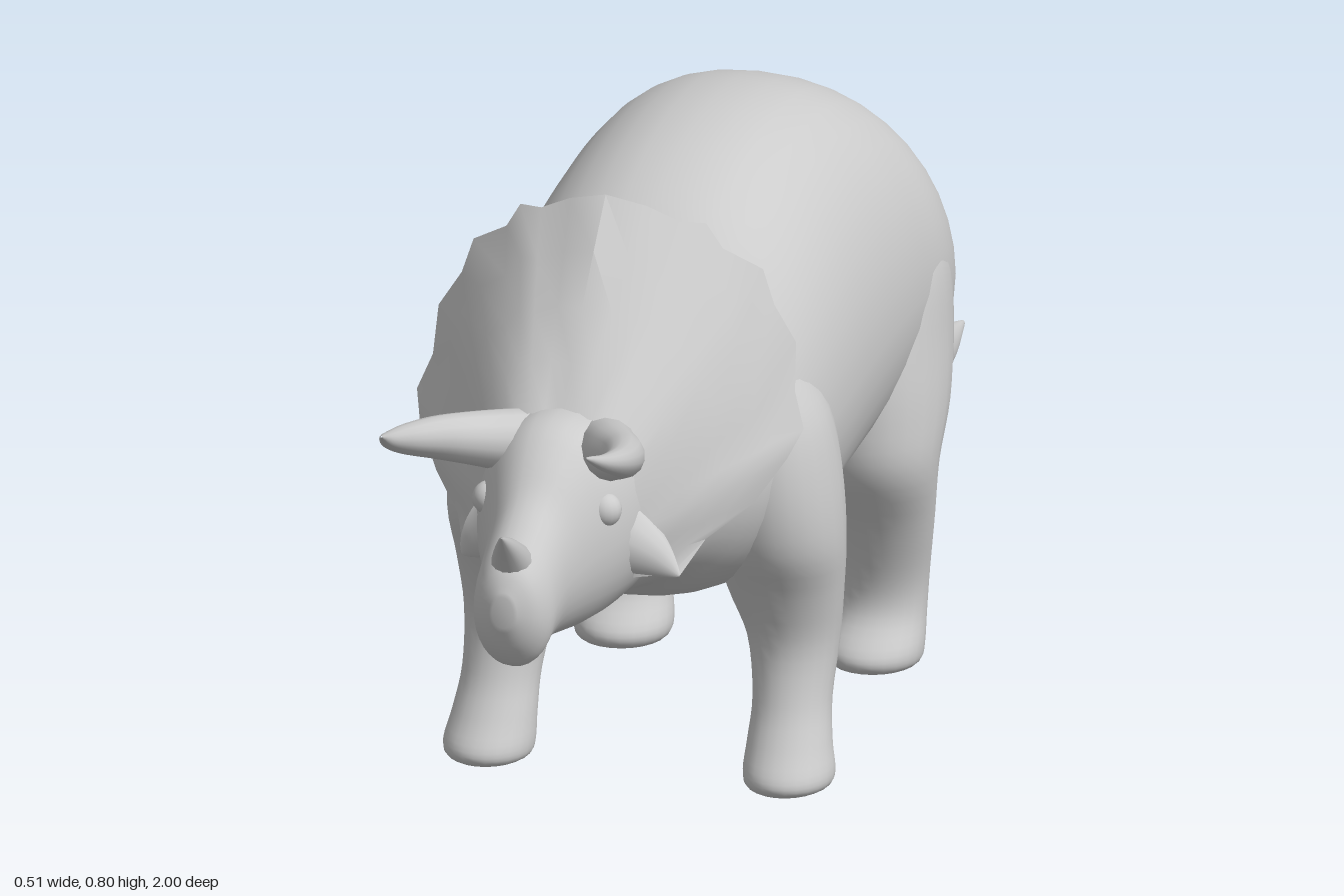
import * as THREE from 'three';
import { toCreasedNormals } from 'three/addons/utils/BufferGeometryUtils.js';

const material = new THREE.MeshStandardMaterial({ color: 0xcccccc });
const thin = new THREE.MeshStandardMaterial({ color: 0xcccccc, side: THREE.DoubleSide });

// Surface through rows of points; closed joins each row end to start
function skin(rows, closed) {
  const n = rows[0].length, index = [];
  for (let i = 0; i < rows.length - 1; i++) {
    for (let j = 0; j < (closed ? n : n - 1); j++) {
      const k = (j + 1) % n;
      const a = i * n + j, b = i * n + k, c = a + n, d = b + n;
      index.push(a, b, c, b, d, c);
    }
  }
  const geo = new THREE.BufferGeometry();
  geo.setAttribute('position', new THREE.Float32BufferAttribute(rows.flat(2), 3));
  geo.setIndex(index);
  geo.computeVertexNormals();
  return geo;
}

// Smoothly interpolate rows of numbers
function refine(rows, steps) {
  const out = [], last = rows.length - 1;
  const at = (i) => rows[Math.min(Math.max(i, 0), last)];
  for (let i = 0; i < last; i++) {
    for (let s = 0; s < steps; s++) {
      const t = s / steps;
      out.push(rows[i].map((p1, k) => {
        const p2 = at(i + 1)[k], m1 = (p2 - at(i - 1)[k]) / 2, m2 = (at(i + 2)[k] - p1) / 2;
        const d = p2 - p1;
        return p1 + m1 * t + (3 * d - 2 * m1 - m2) * t * t + (m1 + m2 - 2 * d) * t * t * t;
      }));
    }
  }
  out.push(rows[last]);
  return out;
}

// Closed loft: ring(section, cos, sin) gives a point; ends collapse to a cap
function loft(sections, ring, segs = 32, steps = 4) {
  const rows = refine(sections, steps).map((s) =>
    Array.from({ length: segs }, (_, j) => {
      const t = (j / segs) * Math.PI * 2;
      return ring(s, Math.cos(t), Math.sin(t));
    }));
  const cap = (row) => {
    const c = [0, 1, 2].map((k) => row.reduce((sum, p) => sum + p[k], 0) / segs);
    return row.map(() => c);
  };
  return skin([cap(rows[0]), ...rows, cap(rows[rows.length - 1])], true);
}

// Section along z: [z, top, bottom, half width], widest a little below the middle
const alongZ = ([z, top, bottom, w], c, s) => {
  const mid = bottom + (top - bottom) * 0.46;
  const x = Math.sign(c) * Math.pow(Math.abs(c), 0.9) * w;
  return [x, mid + s * (s > 0 ? top - mid : mid - bottom), z];
};

// Tapered curved horn
function horn(points, radius) {
  const curve = new THREE.CatmullRomCurve3(points.map((p) => new THREE.Vector3(...p)));
  const along = 24, around = 14;
  const geo = new THREE.TubeGeometry(curve, along, 1, around);
  const pos = geo.attributes.position, v = new THREE.Vector3();
  for (let i = 0; i < pos.count; i++) {
    const t = Math.floor(i / (around + 1)) / along;
    const c = curve.getPointAt(t);
    v.fromBufferAttribute(pos, i).sub(c).multiplyScalar(radius * Math.pow(1 - t, 0.8) + 0.001).add(c);
    pos.setXYZ(i, v.x, v.y, v.z);
  }
  return geo;
}

// Scalloped neck frill: front face, thin rim and hollow back
function frillGeometry() {
  // Half outline from the crown down to the cheek
  const rim = [
    [0, 0.806, 0.49], [0.05, 0.792, 0.478], [0.09, 0.772, 0.468], [0.12, 0.77, 0.458],
    [0.14, 0.737, 0.452], [0.187, 0.71, 0.437], [0.202, 0.665, 0.438], [0.231, 0.62, 0.441],
    [0.234, 0.56, 0.455], [0.25, 0.518, 0.47], [0.237, 0.487, 0.5], [0.205, 0.438, 0.535],
    [0.16, 0.405, 0.59], [0.14, 0.37, 0.63],
  ];
  // Half ring where the frill meets the skull
  const root = [
    [0, 0.575, 0.68], [0.02, 0.58, 0.68], [0.04, 0.58, 0.68], [0.055, 0.575, 0.68],
    [0.07, 0.565, 0.68], [0.08, 0.55, 0.68], [0.09, 0.535, 0.68], [0.095, 0.515, 0.68],
    [0.098, 0.49, 0.68], [0.1, 0.465, 0.68], [0.1, 0.44, 0.68], [0.1, 0.42, 0.68],
    [0.095, 0.4, 0.68], [0.09, 0.375, 0.67],
  ];
  const whole = (half) => [...half.slice(1).reverse().map(([x, y, z]) => [-x, y, z]), ...half];
  const outer = whole(rim), inner = whole(root);
  const row = (t, back) => outer.map((p, j) => {
    const flute = Math.sin(t * Math.PI) * (j % 2 ? 0.004 : -0.002);
    const q = p.map((v, k) => inner[j][k] + (v - inner[j][k]) * t);
    return [q[0], q[1], q[2] + flute - back];
  });
  const rows = [row(0, 0), row(0.25, 0), row(0.5, 0), row(0.75, 0), row(1, 0),
    row(0.98, 0.01), row(0.75, 0.024), row(0.4, 0.04), row(0, 0.06)];
  return toCreasedNormals(skin(rows, false), 0.7);
}

export function createModel() {
  const model = new THREE.Group();
  const add = (name, geo, mat = material) => {
    const mesh = new THREE.Mesh(geo, mat);
    mesh.name = name;
    model.add(mesh);
    return mesh;
  };

  // Tail, torso and neck in one sweep
  add('body', loft([
    [-1, 0.126, 0.118, 0.003], [-0.9, 0.155, 0.104, 0.025], [-0.8, 0.2, 0.1, 0.042],
    [-0.7, 0.268, 0.117, 0.06], [-0.6, 0.37, 0.152, 0.08], [-0.5, 0.475, 0.203, 0.105],
    [-0.4, 0.565, 0.245, 0.15], [-0.3, 0.66, 0.272, 0.205], [-0.2, 0.725, 0.28, 0.235],
    [-0.1, 0.763, 0.268, 0.235], [0, 0.776, 0.25, 0.232], [0.1, 0.772, 0.235, 0.23],
    [0.2, 0.752, 0.224, 0.228], [0.3, 0.71, 0.224, 0.22], [0.4, 0.635, 0.25, 0.195],
    [0.48, 0.59, 0.29, 0.15], [0.58, 0.56, 0.312, 0.11], [0.64, 0.54, 0.325, 0.08],
  ], alongZ, 40));

  // Skull narrowing to the beak
  add('head', loft([
    [0.52, 0.54, 0.315, 0.08], [0.6, 0.575, 0.312, 0.105], [0.68, 0.588, 0.316, 0.104],
    [0.73, 0.582, 0.32, 0.092], [0.77, 0.558, 0.326, 0.074], [0.81, 0.522, 0.332, 0.058],
    [0.85, 0.495, 0.33, 0.053], [0.88, 0.475, 0.322, 0.05], [0.905, 0.455, 0.348, 0.037],
    [0.92, 0.425, 0.385, 0.014],
  ], alongZ));

  add('frill', frillGeometry(), thin);
  add('noseHorn', horn([[0, 0.44, 0.865], [0, 0.475, 0.895], [0, 0.505, 0.925]], 0.034));

  // Leg section, top to bottom: [y, back z, front z, inner x, outer x]
  const frontLeg = [
    [0.55, 0.27, 0.36, 0.12, 0.19], [0.48, 0.23, 0.4, 0.1, 0.23], [0.4, 0.22, 0.415, 0.09, 0.248],
    [0.32, 0.23, 0.405, 0.09, 0.254], [0.25, 0.235, 0.37, 0.1, 0.248], [0.18, 0.24, 0.35, 0.125, 0.241],
    [0.11, 0.265, 0.365, 0.138, 0.237], [0.06, 0.28, 0.392, 0.138, 0.243], [0.025, 0.282, 0.416, 0.137, 0.25],
    [0.008, 0.288, 0.412, 0.142, 0.245], [0.002, 0.305, 0.39, 0.16, 0.225],
  ];
  const hindLeg = [
    [0.6, -0.22, -0.08, 0.12, 0.2], [0.52, -0.26, -0.04, 0.1, 0.236], [0.43, -0.26, -0.01, 0.09, 0.248],
    [0.35, -0.22, 0, 0.085, 0.254], [0.28, -0.165, -0.005, 0.088, 0.25], [0.2, -0.168, -0.05, 0.1, 0.238],
    [0.12, -0.182, -0.08, 0.108, 0.225], [0.07, -0.18, -0.078, 0.107, 0.222], [0.03, -0.177, -0.043, 0.1, 0.224],
    [0.01, -0.172, -0.045, 0.105, 0.22], [0.002, -0.155, -0.065, 0.12, 0.205],
  ];
  const legGeometry = (sections, side) => loft(sections, ([y, z0, z1, x0, x1], c, s) =>
    [side * (x0 + x1) / 2 + c * (x1 - x0) / 2, y, (z0 + z1) / 2 + s * (z1 - z0) / 2], 24);

  for (const [side, label] of [[1, 'left'], [-1, 'right']]) {
    add(label + 'FrontLeg', legGeometry(frontLeg, side));
    add(label + 'HindLeg', legGeometry(hindLeg, side));

    // Brow horn sweeping out, forward and up
    add(label + 'BrowHorn', horn([
      [side * 0.05, 0.535, 0.66], [side * 0.082, 0.56, 0.73], [side * 0.118, 0.582, 0.8],
      [side * 0.138, 0.605, 0.88], [side * 0.139, 0.628, 0.95], [side * 0.132, 0.65, 1],
    ], 0.042));

    // Cheek spike below the frill
    add(label + 'Cheek', horn([
      [side * 0.07, 0.43, 0.67], [side * 0.105, 0.405, 0.655], [side * 0.14, 0.37, 0.635],
    ], 0.05));

    // Eye bulge under the brow
    const eye = add(label + 'Eye', new THREE.SphereGeometry(0.022, 16, 12));
    eye.position.set(side * 0.074, 0.485, 0.735);
  }
  return model;
}
